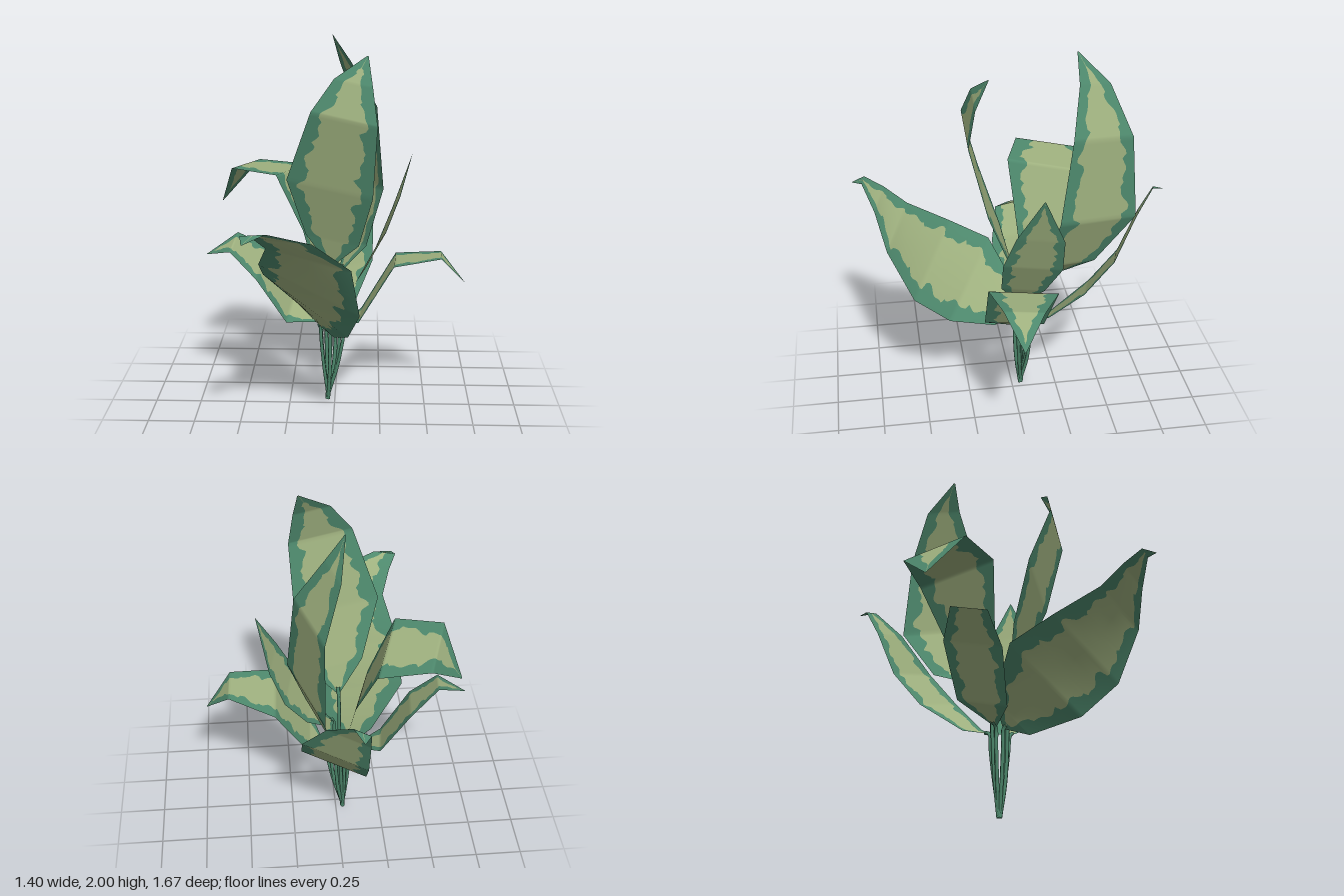
import * as THREE from 'three';

const green = new THREE.MeshStandardMaterial({ color: 0x4e896d, side: THREE.DoubleSide });
green.name = 'leaf green';
const pale = new THREE.MeshStandardMaterial({ color: 0x9fb17f, side: THREE.DoubleSide });
pale.name = 'pale variegation';

const V = (p) => new THREE.Vector3(...p);

// Half width along the leaf: narrow at the base, full in the middle, pointed at the tip
const halfWidth = (t, skew) => Math.pow(Math.max(0, Math.sin(Math.PI * Math.pow(t, skew))), 0.8) + 0.015;

// Width of the green rim (fraction of the leaf) with irregular teeth
function rimWidth(t, seed) {
  if (t < 0.025 || t > 0.94) return 0.48;
  const saw = ((t * 9 + seed) % 1) - 0.5;
  const teeth = 0.07 * saw + 0.035 * Math.sin(t * 37 + seed * 2.3) + 0.02 * Math.sin(t * 90 + seed);
  const ends = 0.28 * Math.pow(Math.abs(t - 0.45) / 0.5, 4);
  return THREE.MathUtils.clamp(0.17 + teeth + ends, 0.06, 0.48);
}

// Sheet along a midrib, turning from one side direction to the other, with a green rim and a pale middle
function leafGeometry(midrib, side, tipSide, skew, seed) {
  const run = [0];
  for (let i = 1; i < midrib.length; i++) run.push(run[i - 1] + midrib[i].distanceTo(midrib[i - 1]));
  const along = run.map((d) => d / run[run.length - 1]);
  const spans = along.map((t) => side.clone().lerp(tipSide, t).multiplyScalar(halfWidth(t, skew)));

  const steps = 20;
  const rowCount = (midrib.length - 1) * steps + 1;
  const positions = [], rim = [], middle = [];
  for (let r = 0; r < rowCount; r++) {
    const i = Math.min(Math.floor(r / steps), midrib.length - 2);
    const f = r / steps - i;
    const centre = midrib[i].clone().lerp(midrib[i + 1], f);
    const span = spans[i].clone().lerp(spans[i + 1], f);
    const t = THREE.MathUtils.lerp(along[i], along[i + 1], f);
    for (const u of [0, rimWidth(t, seed), 0.5, 1 - rimWidth(t, seed + 2.1), 1]) {
      positions.push(...centre.clone().addScaledVector(span, 2 * u - 1).toArray());
    }
    if (r === rowCount - 1) break;
    for (let c = 0; c < 4; c++) {
      const k = r * 5 + c;
      (c === 0 || c === 3 ? rim : middle).push(k, k + 1, k + 6, k, k + 6, k + 5);
    }
  }

  const geometry = new THREE.BufferGeometry();
  geometry.setAttribute('position', new THREE.Float32BufferAttribute(positions, 3));
  geometry.setIndex([...rim, ...middle]);
  geometry.addGroup(0, rim.length, 0);
  geometry.addGroup(rim.length, middle.length, 1);
  geometry.computeVertexNormals();
  return geometry;
}

// Thin bowed stem from the shared root to just inside the leaf
function stemGeometry(midrib, angle) {
  const root = new THREE.Vector3(-0.04 + 0.005 * Math.cos(angle), 0, -0.05 + 0.005 * Math.sin(angle));
  const base = midrib[0];
  const low = root.clone().lerp(base, 0.55).setY(0.2);
  const high = root.clone().lerp(base, 0.85).setY(base.y - 0.1);
  const inside = base.clone().lerp(midrib[1], 0.25);
  const curve = new THREE.CatmullRomCurve3([root, low, high, base, inside]);
  return new THREE.TubeGeometry(curve, 20, 0.01, 6, false);
}

export function createModel() {
  const plant = new THREE.Group();
  plant.name = 'foliagePlant';
  let count = 0;

  // side: half the leaf's width at its widest; points: midrib from base to tip
  const addLeaf = (name, side, points, { skew = 0.85, tipSide = side } = {}) => {
    const midrib = points.map(V);
    const geometry = leafGeometry(midrib, V(side), V(tipSide), skew, count * 1.7);
    const blade = new THREE.Mesh(geometry, [green, pale]);
    blade.name = name;
    const stem = new THREE.Mesh(stemGeometry(midrib, count * Math.PI / 4), green);
    stem.name = name + 'Stem';
    plant.add(blade, stem);
    count++;
  };

  // Four leaves towards the front and back
  addLeaf('frontLeaf', [0.27, -0.2, 0.2], [[-0.08, 0.45, -0.02], [-0.1, 0.5, 0.03],
    [-0.15, 0.66, 0.22], [-0.12, 0.82, 0.425], [-0.11, 1.04, 0.605], [-0.225, 1.155, 0.69],
    [-0.355, 1.21, 0.77], [-0.4, 1.18, 0.83]], { tipSide: [0.24, 0.04, 0.02] });
  addLeaf('tallFrontLeaf', [0.22, -0.05, 0], [[-0.02, 0.8, 0],
    [-0.01, 0.965, 0.05], [-0.02, 1.27, 0.155], [0.055, 1.65, 0.25], [0.1, 1.825, 0.21], [0.17, 1.95, 0.14]]);
  addLeaf('tallBackLeaf', [0.08, 0.03, 0.215], [[0.02, 0.72, -0.12],
    [0.11, 0.86, -0.28], [0.18, 1.15, -0.425], [0.16, 1.6, -0.44], [0.045, 1.85, -0.41], [-0.02, 2, -0.33]],
    { skew: 0.78 });
  addLeaf('backLeaf', [0.17, 0.06, 0.05], [[-0.02, 0.45, -0.11], [0.015, 0.49, -0.21],
    [0.04, 0.66, -0.405], [0.045, 0.85, -0.56], [-0.01, 1.075, -0.68], [-0.065, 1.195, -0.775], [-0.07, 1.18, -0.84]]);

  // Two leaves on each side
  addLeaf('leftUpperLeaf', [-0.03, 0.005, 0.15], [[0.05, 0.6, -0.03],
    [0.14, 0.74, -0.035], [0.25, 0.935, -0.07], [0.33, 1.14, -0.095], [0.41, 1.4, -0.1]]);
  addLeaf('leftLowerLeaf', [-0.01, 0.02, 0.2], [[0.06, 0.46, -0.02],
    [0.14, 0.53, 0.01], [0.325, 0.84, -0.01], [0.57, 0.88, 0.025], [0.7, 0.73, 0.04]], { skew: 0.62 });
  addLeaf('rightUpperLeaf', [0.07, -0.02, -0.22], [[-0.05, 0.52, -0.09],
    [-0.125, 0.975, -0.19], [-0.24, 1.28, -0.24], [-0.495, 1.3, -0.285], [-0.63, 1.09, -0.28]], { skew: 1.6 });
  addLeaf('rightLowerLeaf', [-0.02, -0.045, 0.165], [[-0.08, 0.46, -0.06],
    [-0.245, 0.53, -0.09], [-0.4, 0.785, -0.1], [-0.55, 0.91, -0.08], [-0.7, 0.84, -0.08]]);

  return plant;
}
